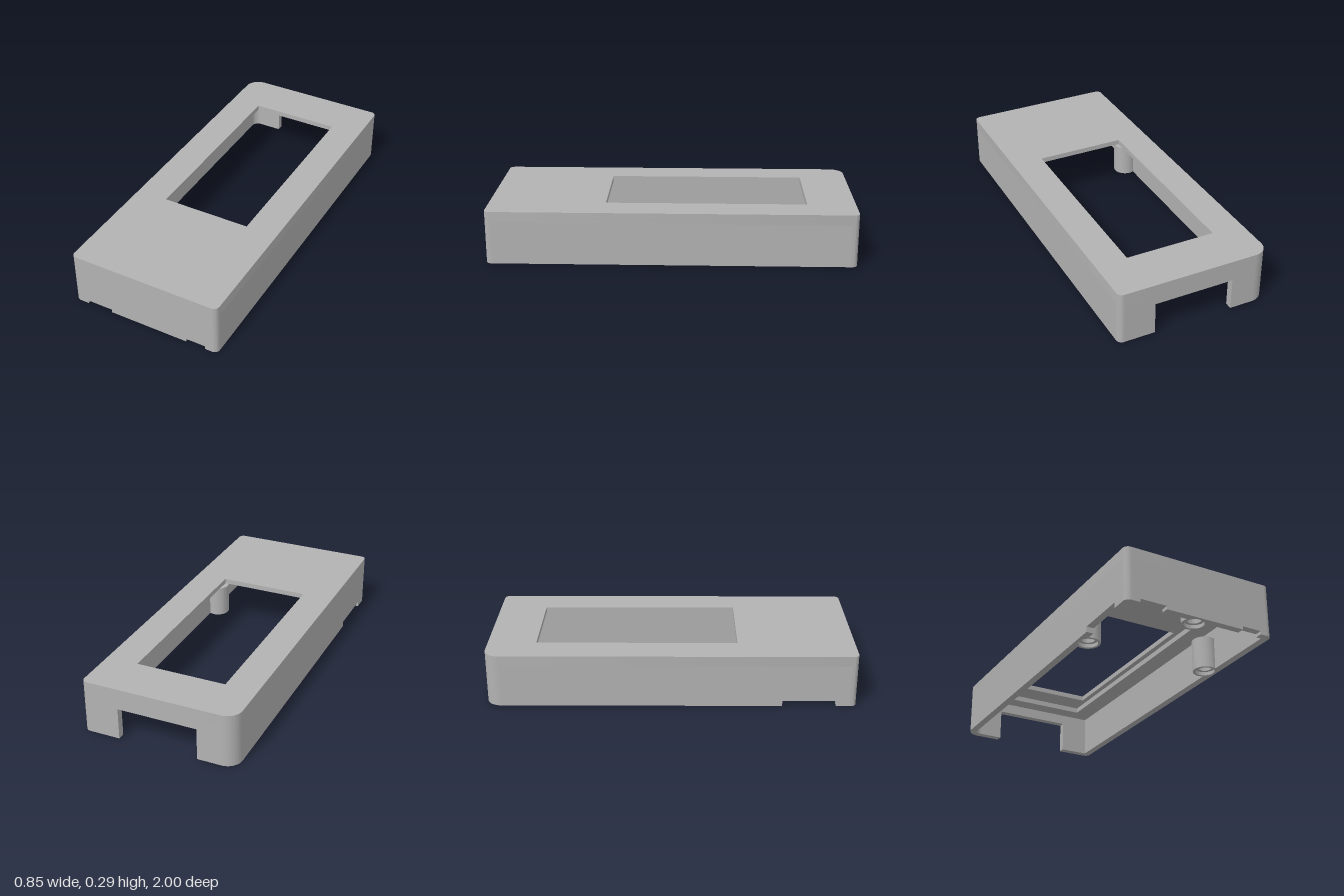
import * as THREE from 'three';
import { toCreasedNormals } from 'three/addons/utils/BufferGeometryUtils.js';

const W = 0.427, L = 1, T = 0.04;              // half width, half length, wall thickness
const CEIL = 0.235, LIP = 0.265, TOP = 0.293;  // inner ceiling, pocket floor, outer top
const R = 0.03, BIG_R = 0.08;                  // small corners, one large back corner
const POST_H = 0.18, POST_R = 0.066, INSET = 0.067;

export function createModel() {
  const model = new THREE.Group();
  model.name = 'enclosureCover';
  const plastic = new THREE.MeshStandardMaterial({ color: 0xb2b2b2 });
  plastic.name = 'grey plastic';

  const mesh = (name, geometry, parent = model) => {
    const m = new THREE.Mesh(toCreasedNormals(geometry, 0.5), plastic);
    m.name = name;
    parent.add(m);
    return m;
  };
  const extrude = (shape, depth) =>
    new THREE.ExtrudeGeometry(shape, { depth, bevelEnabled: false, curveSegments: 14 });
  // Plan shapes use (x, -z) and rise along y
  const rise = (shape, y0, y1) => extrude(shape, y1 - y0).rotateX(-Math.PI / 2).translate(0, y0, 0);

  // Rounded plan outline with a rectangular opening
  const plate = (x, zBack, zFront) => {
    const s = new THREE.Shape();
    s.moveTo(-W + R, -L);
    s.lineTo(W - R, -L);
    s.absarc(W - R, -L + R, R, -Math.PI / 2, 0, false);
    s.lineTo(W, L - R);
    s.absarc(W - R, L - R, R, 0, Math.PI / 2, false);
    s.lineTo(-W + BIG_R, L);
    s.absarc(-W + BIG_R, L - BIG_R, BIG_R, Math.PI / 2, Math.PI, false);
    s.lineTo(-W, -L + R);
    s.absarc(-W + R, -L + R, R, Math.PI, Math.PI * 1.5, false);
    const h = new THREE.Path();
    h.moveTo(-x, -zFront);
    h.lineTo(-x, -zBack);
    h.lineTo(x, -zBack);
    h.lineTo(x, -zFront);
    h.closePath();
    s.holes.push(h);
    return s;
  };
  mesh('topPlate', rise(plate(0.25, -0.735, 0.36), LIP, TOP));
  mesh('displayPocketPlate', rise(plate(0.28, -0.87, 0.49), CEIL, LIP));

  // Wall elevation with notches [from, to, height] along the bottom edge
  const wall = (a, b, notches) => {
    const s = new THREE.Shape();
    s.moveTo(a, 0);
    for (const [u0, u1, h] of notches) {
      s.lineTo(u0, 0);
      s.lineTo(u0, h);
      s.lineTo(u1, h);
      s.lineTo(u1, 0);
    }
    s.lineTo(b, 0);
    s.lineTo(b, CEIL);
    s.lineTo(a, CEIL);
    s.closePath();
    return extrude(s, T);
  };
  const bay = 0.07, postZ = 0.49;
  const sideBay = [-postZ - bay, -postZ + bay, POST_H];
  mesh('frontWall', wall(-W + T, W - T,
    [[-0.347, -0.2, 0.018], [-bay, bay, POST_H], [0.247, 0.357, 0.018]]).translate(0, 0, L - T));
  mesh('backWall', wall(-W + BIG_R, W - T, [[-0.215, 0.225, 0.177]]).translate(0, 0, -L));
  mesh('leftWall', wall(-L + T, L - T, [sideBay]).rotateY(Math.PI / 2).translate(W - T, 0, 0));
  mesh('rightWall', wall(-L + T, L - BIG_R, [[-0.89, -0.6, 0.03], sideBay])
    .rotateY(Math.PI / 2).translate(-W, 0, 0));

  // Corner columns, each turned a quarter further
  const corner = (name, r, turn, sx, sz) => {
    const size = Math.max(r, T), s = new THREE.Shape();
    s.moveTo(size, 0);
    s.lineTo(size, size - r);
    s.absarc(size - r, size - r, r, 0, Math.PI / 2, false);
    s.lineTo(0, size);
    if (size > T) {
      s.lineTo(0, size - T);
      s.absarc(0, 0, size - T, Math.PI / 2, 0, true);
    } else s.lineTo(0, 0);
    s.closePath();
    mesh(name, rise(s, 0, CEIL).rotateY(turn * Math.PI / 2)
      .translate(sx * (W - size), 0, sz * (L - size)));
  };
  corner('backLeftCorner', R, 0, 1, -1);
  corner('backRightCorner', BIG_R, 1, -1, -1);
  corner('frontRightCorner', R, 2, -1, 1);
  corner('frontLeftCorner', R, 3, 1, 1);

  // Hollow screw posts, each sunk into a scooped section of wall
  const profile = [[0, 0.14], [0.036, 0.14], [0.036, 0.02], [0.052, 0.02], [0.052, 0],
    [POST_R, 0], [POST_R, POST_H], [0, POST_H]].map(([x, y]) => new THREE.Vector2(x, y));
  const scoopR = 0.06, a = Math.asin((INSET - T) / scoopR);
  const scoop = new THREE.Shape();
  scoop.moveTo(-bay, 0);
  scoop.lineTo(bay, 0);
  scoop.lineTo(bay, T);
  scoop.absarc(0, INSET, scoopR, -a, -Math.PI + a, true);
  scoop.lineTo(-bay, T);
  scoop.closePath();
  const post = (name, x, z, angle) => {
    const g = new THREE.Group();
    g.name = name;
    mesh('postWallSection', rise(scoop, 0, POST_H), g);
    mesh('screwPost', new THREE.LatheGeometry(profile, 40).translate(0, 0, -INSET), g);
    g.position.set(x, 0, z);
    g.rotation.y = angle;
    model.add(g);
  };
  post('frontPost', 0, L, 0);
  post('leftPost', W, postZ, Math.PI / 2);
  post('rightPost', -W, postZ, -Math.PI / 2);

  return model;
}
